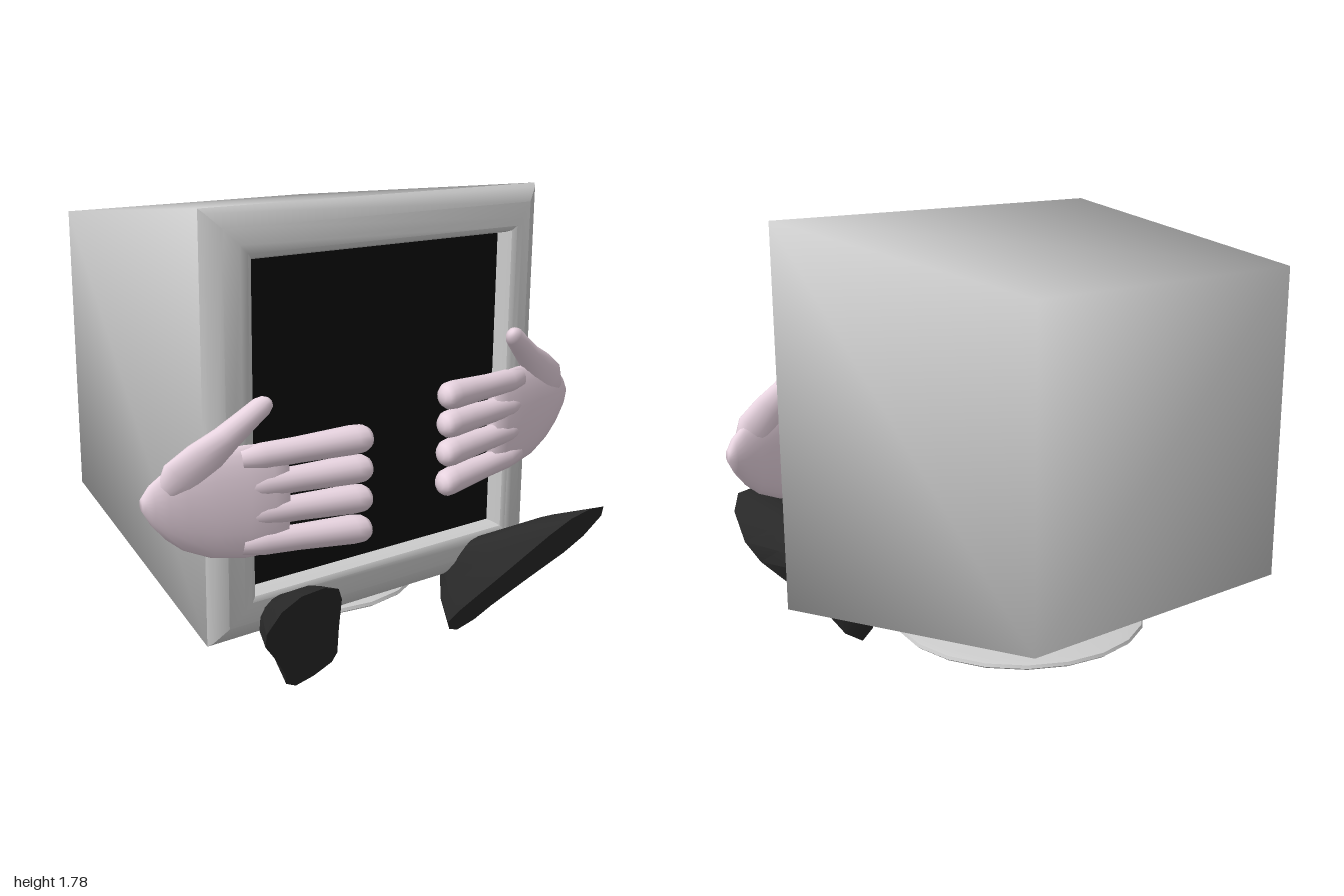
import * as THREE from 'three';
import { mergeVertices, toCreasedNormals } from 'three/addons/utils/BufferGeometryUtils.js';
import { ConvexGeometry } from 'three/addons/geometries/ConvexGeometry.js';

const V = (x, y, z) => new THREE.Vector3(x, y, z);
const paint = (color) => new THREE.MeshStandardMaterial({ color });
const grey = paint(0xcccccc);
const black = paint(0x0a0a0a);
const dark = paint(0x2a2a2a);
const pink = paint(0xe8d4e0);

const CX = 0.015; // the casing, stand and shoes share this centre line

function part(name, geometry, material) {
  const mesh = new THREE.Mesh(geometry, material);
  mesh.name = name;
  return mesh;
}

// Skin a list of equal-length rings and close both ends
function loft(rings) {
  const n = rings[0].length;
  const last = rings.length - 1;
  const points = rings.flat();
  const centre = (ring) => ring.reduce((s, p) => s.add(p), V(0, 0, 0)).divideScalar(n);
  const start = points.push(centre(rings[0])) - 1;
  const end = points.push(centre(rings[last])) - 1;
  const index = [];
  for (let j = 0; j < n; j++) {
    const k = (j + 1) % n;
    for (let i = 0; i < last; i++) {
      const a = i * n + j, b = i * n + k;
      index.push(a, b, a + n, b, b + n, a + n);
    }
    index.push(start, k, j, end, last * n + j, last * n + k);
  }
  const g = new THREE.BufferGeometry().setFromPoints(points);
  g.setIndex(index);
  g.computeVertexNormals();
  return g;
}

// Oval sections [x, y, z, halfHeight, halfDepth], running toward -x
function ovalLoft(sections, sides = 16) {
  return loft(sections.map(([x, y, z, h, d]) =>
    Array.from({ length: sides }, (_, i) => {
      const t = (i / sides) * Math.PI * 2;
      return V(x, y + h * Math.cos(t), z - d * Math.sin(t));
    })));
}

// Tapered casing, open at the front, with its underside drawn down to the neck
function casingGeometry() {
  const points = [];
  for (const s of [-1, 1]) {
    points.push(V(s * 0.765, 0.26, 0.41), V(s * 0.765, 1.79, 0.41));
    points.push(V(s * 0.585, 0.48, -0.9), V(s * 0.585, 1.65, -0.9));
  }
  for (let i = 0; i < 16; i++) {
    const t = (i / 16) * Math.PI * 2;
    const z = -0.11 + 0.21 * Math.cos(t);
    points.push(V(0.21 * Math.sin(t), 0.26 + (0.41 - z) * 0.05, z));
  }
  const hull = new ConvexGeometry(points).getAttribute('position');
  const kept = [];
  for (let i = 0; i < hull.count; i += 3) {
    const tri = [0, 1, 2].map((k) => V().fromBufferAttribute(hull, i + k));
    if (!tri.every((p) => p.z > 0.4)) kept.push(...tri);
  }
  const g = mergeVertices(new THREE.BufferGeometry().setFromPoints(kept));
  g.computeVertexNormals();
  return g;
}

// Square frame: a rounded profile swept around four sides
function bezelGeometry() {
  const profile = [
    [0.765, 0.41], [0.75, 0.428], [0.70, 0.456], [0.645, 0.473],
    [0.615, 0.475], [0.598, 0.465], [0.59, 0.44], [0.585, 0.39],
  ].map(([r, z]) => new THREE.Vector2(r * Math.SQRT2, z));
  const g = new THREE.LatheGeometry(profile, 4, Math.PI / 4);
  g.rotateX(Math.PI / 2);
  return toCreasedNormals(g, 0.6);
}

// Shoe: sole outline (x, height) tilted toe-up, skinned to a small ankle opening
function shoeGeometry() {
  const outline = [
    [0.405, 0.01], [0.34, 0.04], [0.29, 0.10], [0.30, 0.16], [0.40, 0.34], [0.495, 0.52],
    [0.55, 0.59], [0.625, 0.62], [0.71, 0.61], [0.755, 0.55], [0.757, 0.44], [0.72, 0.36],
    [0.61, 0.24], [0.51, 0.12], [0.47, 0.05],
  ];
  const ring = (t, lift, swell) => outline.map(([x, y], i) => {
    const s = (y - 0.01) / 0.794;
    const a = Math.PI * 2 * (i / outline.length);
    // ankle oval, started at the heel and turned the same way as the sole
    const ax = 0.455 - 0.085 * Math.sin(a) + 0.03 * -Math.cos(a);
    const as = 0.23 - 0.12 * Math.cos(a);
    const px = THREE.MathUtils.lerp(x, ax, t) + swell * -Math.sin(a);
    const ps = THREE.MathUtils.lerp(s, as, t) - swell * Math.cos(a);
    return V(px, 0.01 + ps * 0.794 + lift * 0.608, 0.44 + ps * 0.608 - lift * 0.794);
  });
  return toCreasedNormals(loft([ring(0, 0, 0), ring(0.42, 0.1, 0.012), ring(1, 0.214, 0)]), 0.5);
}

function makeHand(name) {
  const hand = new THREE.Group();
  hand.name = name;
  // Palm from wrist to knuckles
  hand.add(part('palm', ovalLoft([
    [0.992, 0.93, 0.42, 0.025, 0.02], [0.965, 0.925, 0.427, 0.07, 0.033],
    [0.92, 0.915, 0.437, 0.115, 0.04], [0.86, 0.905, 0.448, 0.155, 0.045],
    [0.76, 0.895, 0.468, 0.19, 0.048], [0.64, 0.888, 0.492, 0.203, 0.048],
    [0.55, 0.888, 0.51, 0.2, 0.044], [0.49, 0.888, 0.522, 0.185, 0.03],
  ], 24), pink));

  // Four blunt fingers
  const fingerProfile = [
    [0.66, 0.035], [0.58, 0.046], [0.45, 0.046], [0.33, 0.05], [0.24, 0.053],
    [0.2, 0.05], [0.18, 0.038], [0.17, 0.018],
  ];
  [1.06, 0.95, 0.838, 0.722].forEach((y, i) => {
    const sections = fingerProfile.map(([x, r]) => {
      const t = (0.66 - x) / 0.49;
      return [x, 0.888 + (y - 0.888) * (0.9 + 0.1 * t), 0.495 + 0.09 * t, r, r];
    });
    hand.add(part('finger' + (i + 1), ovalLoft(sections), pink));
  });

  // Thumb, angled up from the wrist
  const thumb = part('thumb', ovalLoft([
    [0.06, 0, -0.005, 0.05, 0.03], [0, 0, 0, 0.085, 0.042], [-0.1, 0, 0.018, 0.075, 0.044],
    [-0.2, 0, 0.038, 0.052, 0.042], [-0.3, 0, 0.06, 0.042, 0.038],
    [-0.36, 0, 0.074, 0.038, 0.034], [-0.385, 0, 0.08, 0.027, 0.025],
    [-0.395, 0, 0.082, 0.012, 0.012],
  ]), pink);
  thumb.position.set(0.865, 0.995, 0.45);
  thumb.rotation.z = -0.69;
  hand.add(thumb);
  return hand;
}

export function createModel() {
  const model = new THREE.Group();
  model.name = 'monitorFigure';

  const monitor = new THREE.Group();
  monitor.name = 'monitor';
  monitor.position.x = CX;
  monitor.add(part('casing', casingGeometry(), grey));

  const bezel = part('bezel', bezelGeometry(), grey);
  bezel.position.y = 1.025;
  monitor.add(bezel);

  const screen = part('screen', new THREE.PlaneGeometry(1.19, 1.19), black);
  screen.position.set(0, 1.025, 0.4);
  monitor.add(screen);

  // Round foot with a short neck
  const standProfile = [
    [0, 0.2], [0.49, 0.2], [0.5, 0.208], [0.495, 0.22], [0.46, 0.228],
    [0.26, 0.238], [0.22, 0.248], [0.21, 0.27], [0.21, 0.3],
  ].map(([r, y]) => new THREE.Vector2(r, y));
  const stand = part('stand', toCreasedNormals(new THREE.LatheGeometry(standProfile, 20), 0.9), grey);
  stand.position.z = -0.11;
  monitor.add(stand);
  model.add(monitor);

  // Mirrored shoes and hands; the right hand sits a little lower
  const shoe = shoeGeometry();
  for (const [side, s] of [['left', 1], ['right', -1]]) {
    const foot = part(side + 'Shoe', shoe, dark);
    foot.position.x = CX;
    foot.scale.x = s;
    model.add(foot);

    const hand = makeHand(side + 'Hand');
    hand.scale.x = s;
    hand.position.y = s > 0 ? 0 : -0.09;
    model.add(hand);
  }
  return model;
}
